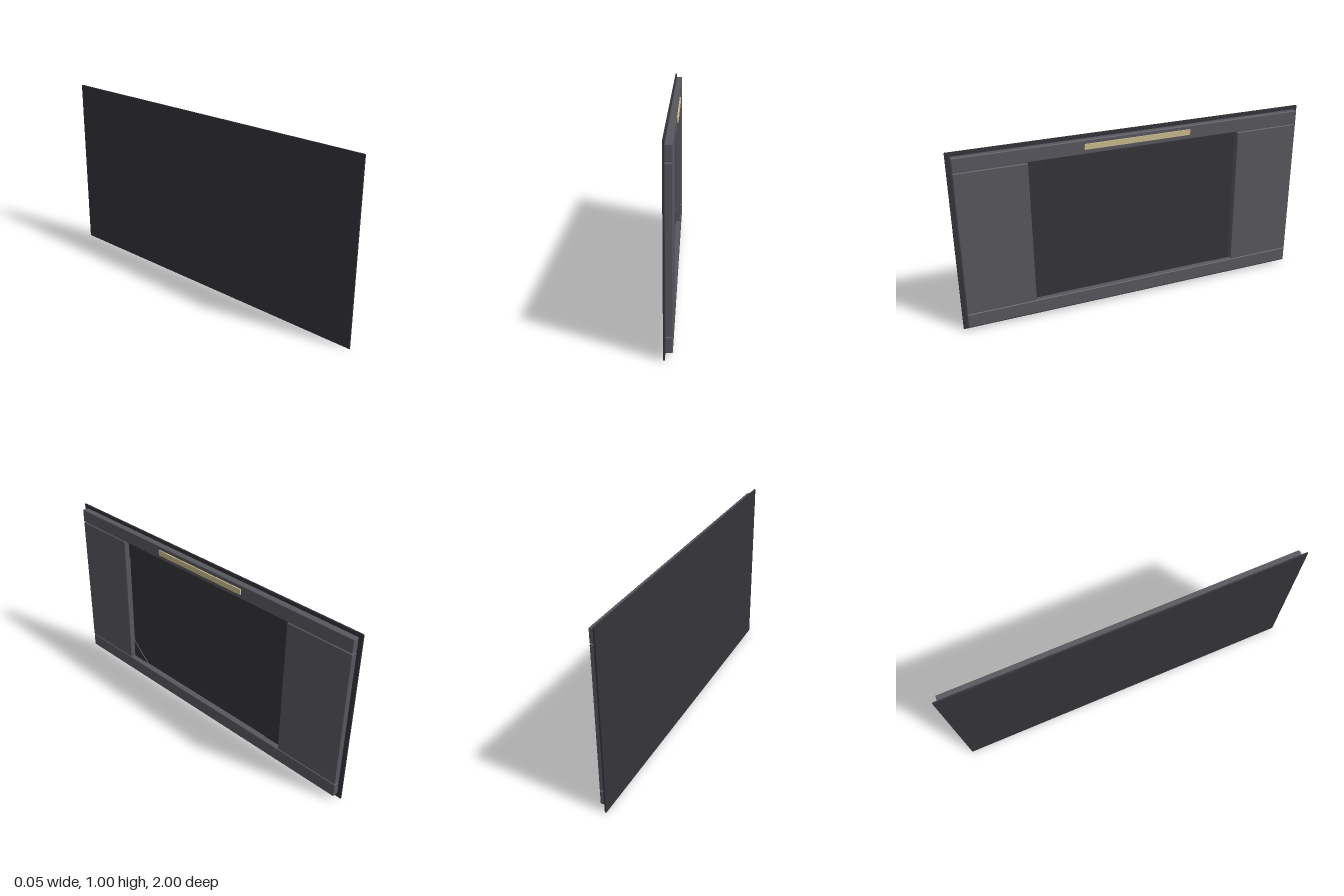
import * as THREE from 'three';
import { RoundedBoxGeometry } from 'three/addons/geometries/RoundedBoxGeometry.js';

function material(name, color) {
  const m = new THREE.MeshStandardMaterial({ color });
  m.name = name;
  return m;
}

export function createModel() {
  const group = new THREE.Group();
  const darkMetal = material('dark metal', 0x34343a);
  const greyMetal = material('grey metal', 0x57575e);
  const warmLight = material('warm light', 0xcbbb8c);

  const add = (name, geometry, mat, x, y, z) => {
    const mesh = new THREE.Mesh(geometry, mat);
    mesh.name = name;
    mesh.position.set(x, y, z);
    group.add(mesh);
    return mesh;
  };
  // Block with a small edge bevel, given by its x, y and z ranges
  const block = (name, x0, x1, y0, y1, z0, z1) => add(name,
    new RoundedBoxGeometry(x1 - x0, y1 - y0, z1 - z0, 1, 0.004),
    greyMetal, (x0 + x1) / 2, (y0 + y1) / 2, (z0 + z1) / 2);

  // Thin backing sheet
  add('backPlate', new THREE.BoxGeometry(0.008, 1, 2), darkMetal, -0.021, 0.5, 0);

  // Raised frame around the recess
  block('topRail', -0.018, 0.018, 0.904, 0.98, -0.978, 0.978);
  block('bottomRail', -0.018, 0.018, 0.024, 0.102, -0.978, 0.978);
  for (const s of [-1, 1]) {
    const a = s * 0.6, b = s * 0.978;
    block('sidePanel', -0.018, 0.018, 0.106, 0.9, Math.min(a, b), Math.max(a, b));
  }

  // Thin triangular gussets in the corners of the recess
  for (const sz of [-1, 1]) {
    for (const sy of [-1, 1]) {
      const corner = new THREE.Shape([
        new THREE.Vector2(-sz * 0.6, sy * 0.4),
        new THREE.Vector2(-sz * 0.48, sy * 0.4),
        new THREE.Vector2(-sz * 0.6, sy * 0.29),
      ]);
      const gusset = add('cornerGusset',
        new THREE.ExtrudeGeometry(corner, { depth: 0.005, bevelEnabled: false }),
        darkMetal, -0.0172, 0.502, 0);
      gusset.rotation.y = Math.PI / 2;
    }
  }

  // Light strip on the top rail
  add('lightStrip', new THREE.BoxGeometry(0.008, 0.03, 0.6), warmLight, 0.021, 0.945, 0);

  return group;
}
